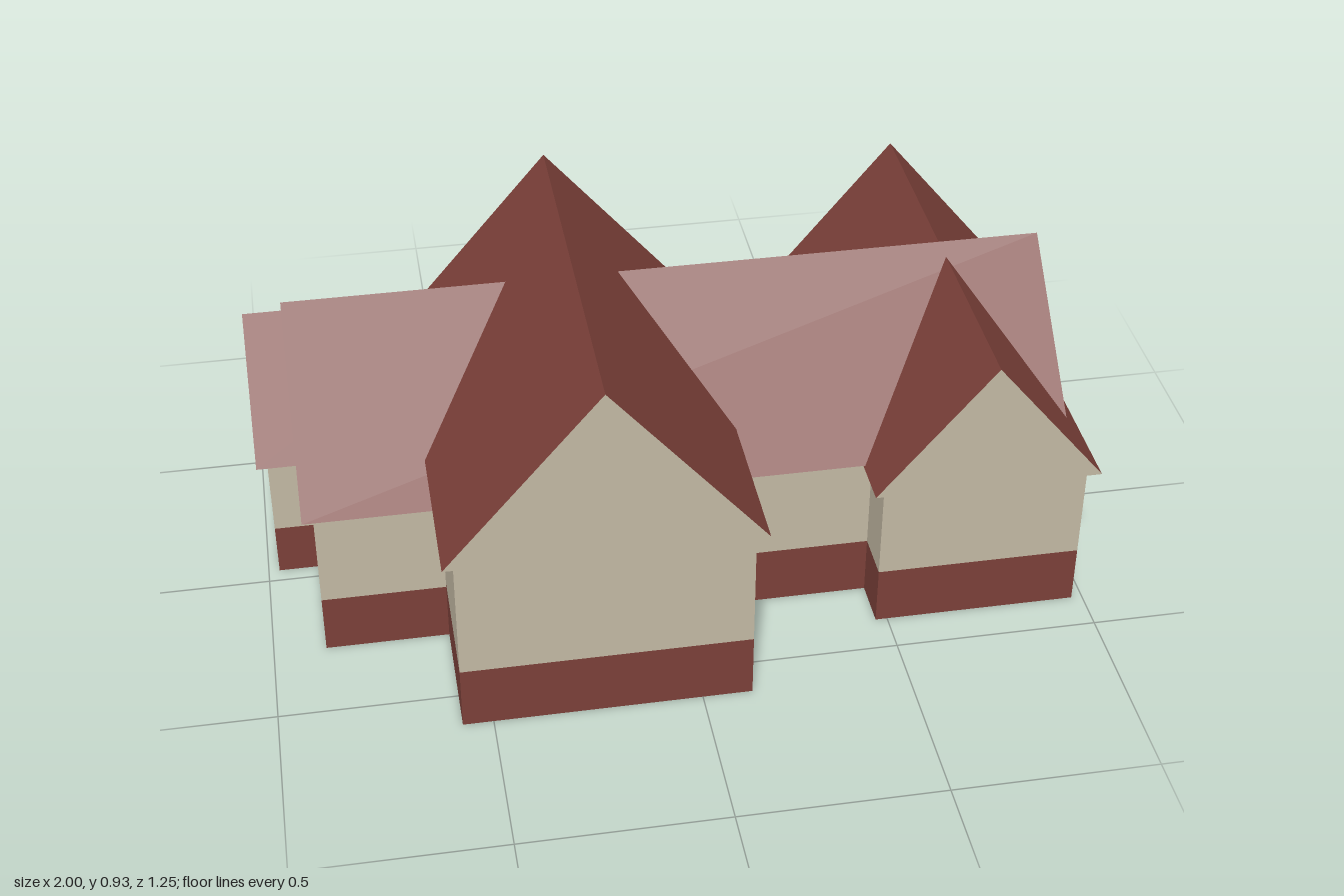
import * as THREE from 'three';

const wallPaint = new THREE.MeshStandardMaterial({ color: 0xc2b8a3, name: 'cream wall' });
const brick = new THREE.MeshStandardMaterial({ color: 0x7b4039, name: 'brick red' });

const OVERHANG = 0.027;

// Box given by its bounds
function block(name, material, x0, x1, y0, y1, z0, z1) {
  const mesh = new THREE.Mesh(new THREE.BoxGeometry(x1 - x0, y1 - y0, z1 - z0), material);
  mesh.position.set((x0 + x1) / 2, (y0 + y1) / 2, (z0 + z1) / 2);
  mesh.name = name;
  return mesh;
}

// Triangular prism: cream gable ends, red slopes and soffit
function gableRoof(name, { x0, x1, z0, z1, eave, ridge, axis }) {
  const alongX = axis === 'x';
  const length = alongX ? x1 - x0 : z1 - z0;
  const half = (alongX ? z1 - z0 : x1 - x0) / 2;
  const triangle = new THREE.Shape([
    new THREE.Vector2(-half, 0),
    new THREE.Vector2(half, 0),
    new THREE.Vector2(0, ridge - eave),
  ]);
  const geometry = new THREE.ExtrudeGeometry(triangle, { depth: length, bevelEnabled: false });
  geometry.translate(0, 0, -length / 2);
  if (alongX) geometry.rotateY(Math.PI / 2);
  const mesh = new THREE.Mesh(geometry, [wallPaint, brick]);
  mesh.position.set((x0 + x1) / 2, eave, (z0 + z1) / 2);
  mesh.name = name;
  return mesh;
}

// Plinth, walls set in from the eaves, and roof
function wing(name, spec) {
  const group = new THREE.Group();
  group.name = name;
  const o = OVERHANG;
  const bounds = [spec.x0 + o, spec.x1 - o, spec.z0 + o, spec.z1 - o];
  const [x0, x1, z0, z1] = bounds;
  group.add(
    block(name + 'Plinth', brick, x0, x1, 0, spec.plinth, z0, z1),
    block(name + 'Walls', wallPaint, x0, x1, spec.plinth, spec.eave, z0, z1),
    gableRoof(name + 'Roof', spec),
  );
  return group;
}

export function createModel() {
  const house = new THREE.Group();
  house.name = 'house';
  house.add(
    wing('mainHall', { x0: -0.9, x1: 0.96, z0: -0.487, z1: 0.303, plinth: 0.152, eave: 0.41, ridge: 0.772, axis: 'x' }),
    wing('frontWing', { x0: -0.6, x1: 0.147, z0: -0.4, z1: 0.627, plinth: 0.164, eave: 0.492, ridge: 0.933, axis: 'z' }),
    wing('sideWing', { x0: 0.444, x1: 1, z0: -0.627, z1: 0.425, plinth: 0.152, eave: 0.406, ridge: 0.745, axis: 'z' }),
    wing('rearAnnex', { x0: -1, x1: -0.38, z0: -0.624, z1: -0.012, plinth: 0.135, eave: 0.345, ridge: 0.6, axis: 'x' }),
  );
  return house;
}
